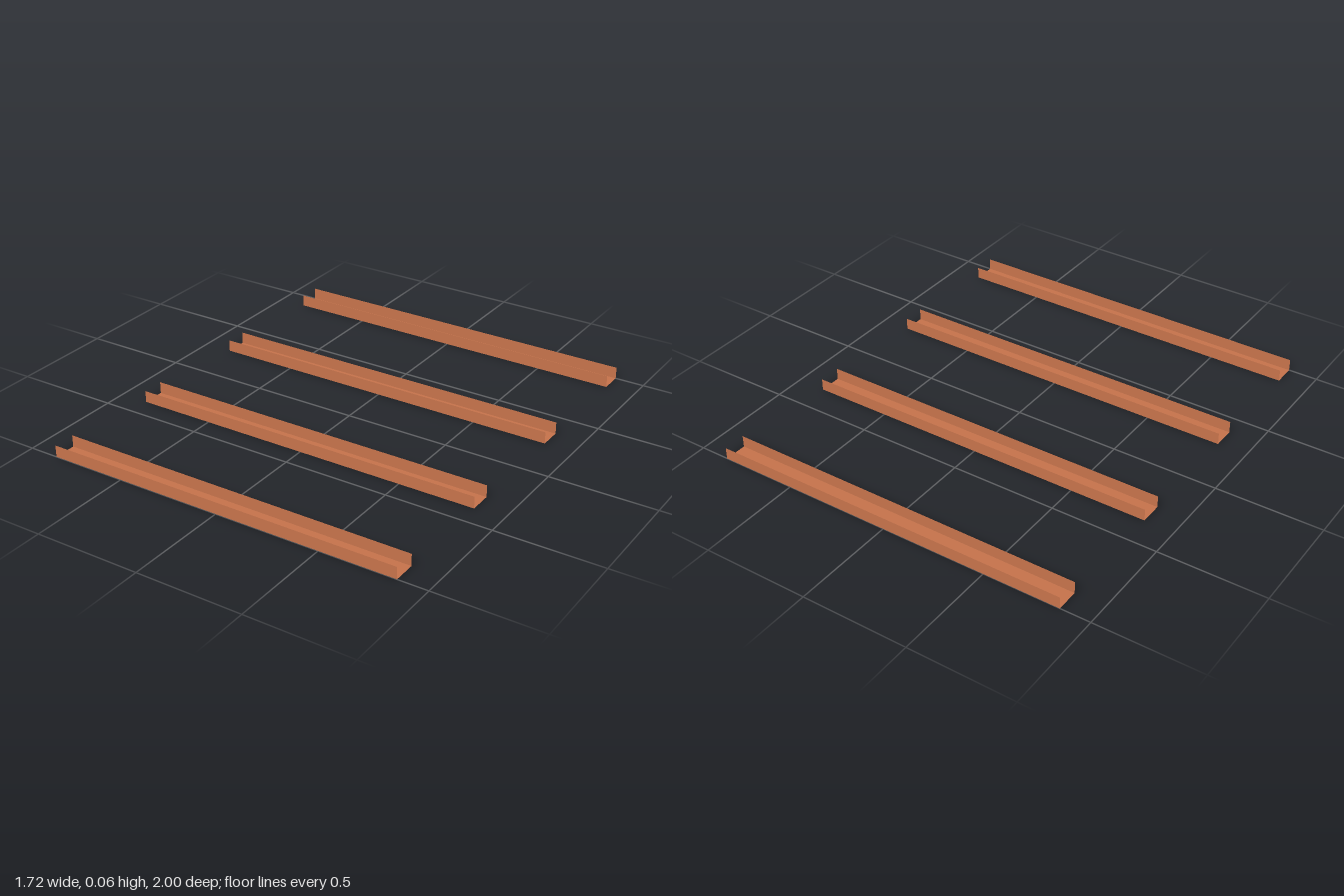
import * as THREE from 'three';

const LENGTH = 1.72, WIDTH = 0.107, HEIGHT = 0.056;

export function createModel() {
  const model = new THREE.Group();
  model.name = 'channelRails';
  const material = new THREE.MeshStandardMaterial({ color: 0xc8744c, side: THREE.DoubleSide });

  // thin sheets: a floor facing down and a wall facing outward
  const floorGeometry = new THREE.PlaneGeometry(LENGTH, WIDTH).rotateX(Math.PI / 2);
  const wallGeometry = new THREE.PlaneGeometry(LENGTH, HEIGHT).translate(0, HEIGHT / 2, WIDTH / 2);

  const addSheet = (parent, name, geometry, turn = 0) => {
    const mesh = new THREE.Mesh(geometry, material);
    mesh.name = name;
    mesh.rotation.y = turn;
    parent.add(mesh);
  };

  // four U channels, open at the top and at both ends
  [-0.947, -0.302, 0.341, 0.946].forEach((z, i) => {
    const rail = new THREE.Group();
    rail.name = `rail${i + 1}`;
    rail.position.z = z;
    addSheet(rail, 'floor', floorGeometry);
    addSheet(rail, 'frontWall', wallGeometry);
    addSheet(rail, 'backWall', wallGeometry, Math.PI);
    model.add(rail);
  });

  return model;
}
